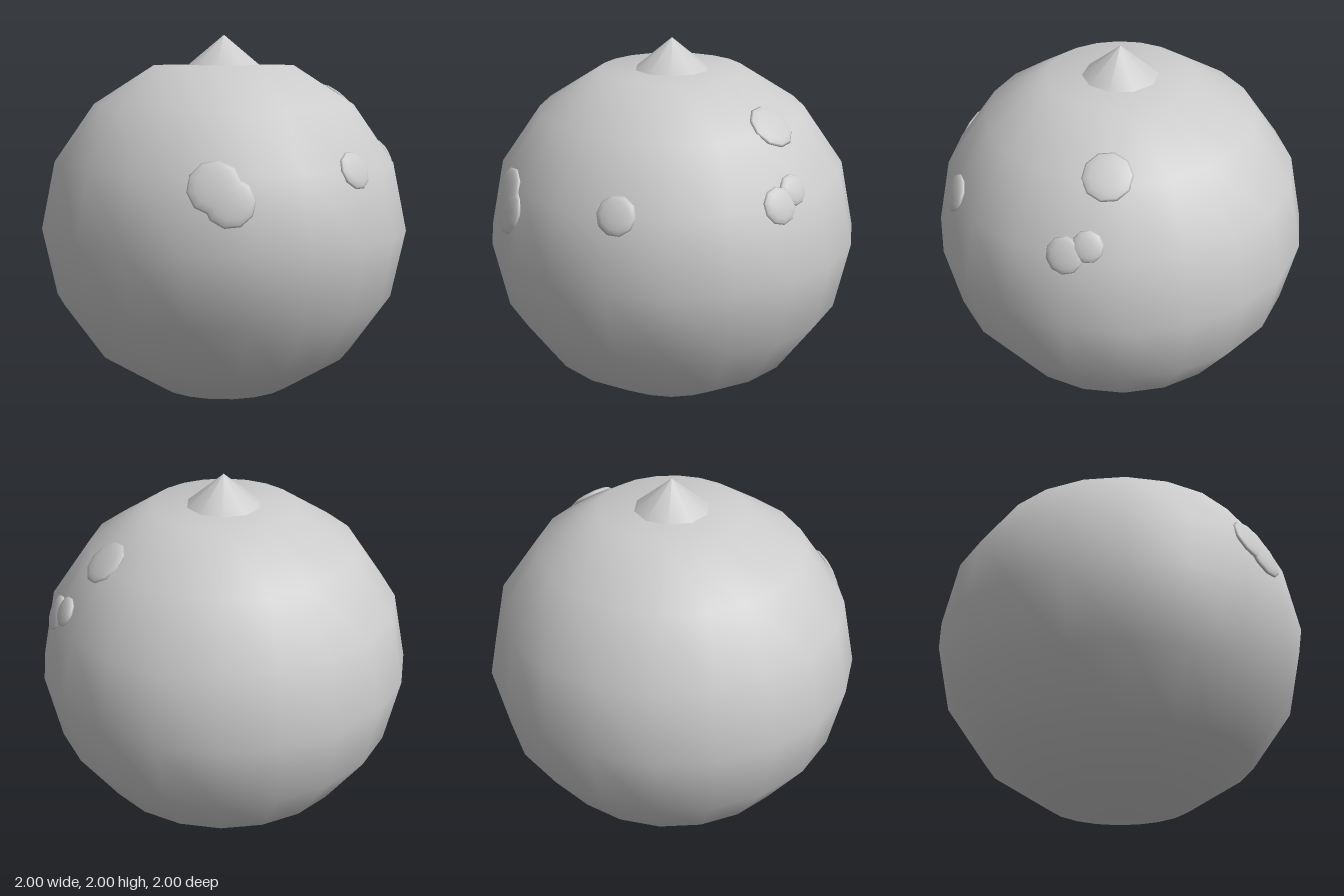
import * as THREE from 'three';

const CENTRE = 0.955; // height of the ball's centre and its vertical radius

export function createModel() {
  const model = new THREE.Group();
  const grey = new THREE.MeshStandardMaterial({ color: 0xcccccc });
  grey.name = 'light grey';

  const add = (name, geometry) => {
    const mesh = new THREE.Mesh(geometry, grey);
    mesh.name = name;
    model.add(mesh);
    return mesh;
  };

  // Ball: smooth-shaded rings, closed with a flat top
  const profile = [];
  for (let i = 0; i < 8; i++) {
    const a = (i * Math.PI) / 8;
    profile.push(new THREE.Vector2(i ? Math.sin(a) : 0, CENTRE * (1 - Math.cos(a))));
  }
  profile.push(new THREE.Vector2(0, profile[7].y));
  add('body', new THREE.LatheGeometry(profile, 20));

  // Pointed tip, ten-sided with smooth sides
  const tip = add('tip', new THREE.ConeGeometry(0.2, 0.165, 10));
  tip.rotation.y = Math.PI / 2;
  tip.position.y = 1.9175;

  // Shallow round spots lying on the surface: x, y, z, radius
  const spots = [
    [0.03, 1.33, 0.91, 0.1],
    [-0.67, 1.28, 0.65, 0.135],
    [-0.63, 1.21, 0.71, 0.125],
    [0.73, 1.335, 0.54, 0.095],
    [0.775, 1.39, 0.44, 0.08],
    [0.61, 1.645, 0.28, 0.125],
  ];
  const dome = new THREE.SphereGeometry(1, 10, 8);
  const up = new THREE.Vector3(0, 1, 0);
  for (const [x, y, z, r] of spots) {
    const dir = new THREE.Vector3(x, (y - CENTRE) / CENTRE, z).normalize();
    const normal = new THREE.Vector3(dir.x, dir.y / CENTRE, dir.z).normalize();
    const spot = add('spot', dome);
    spot.position.set(dir.x, CENTRE + dir.y * CENTRE, dir.z).addScaledVector(normal, -0.012);
    spot.quaternion.setFromUnitVectors(up, normal);
    spot.scale.set(r, 0.025, r);
  }
  return model;
}
